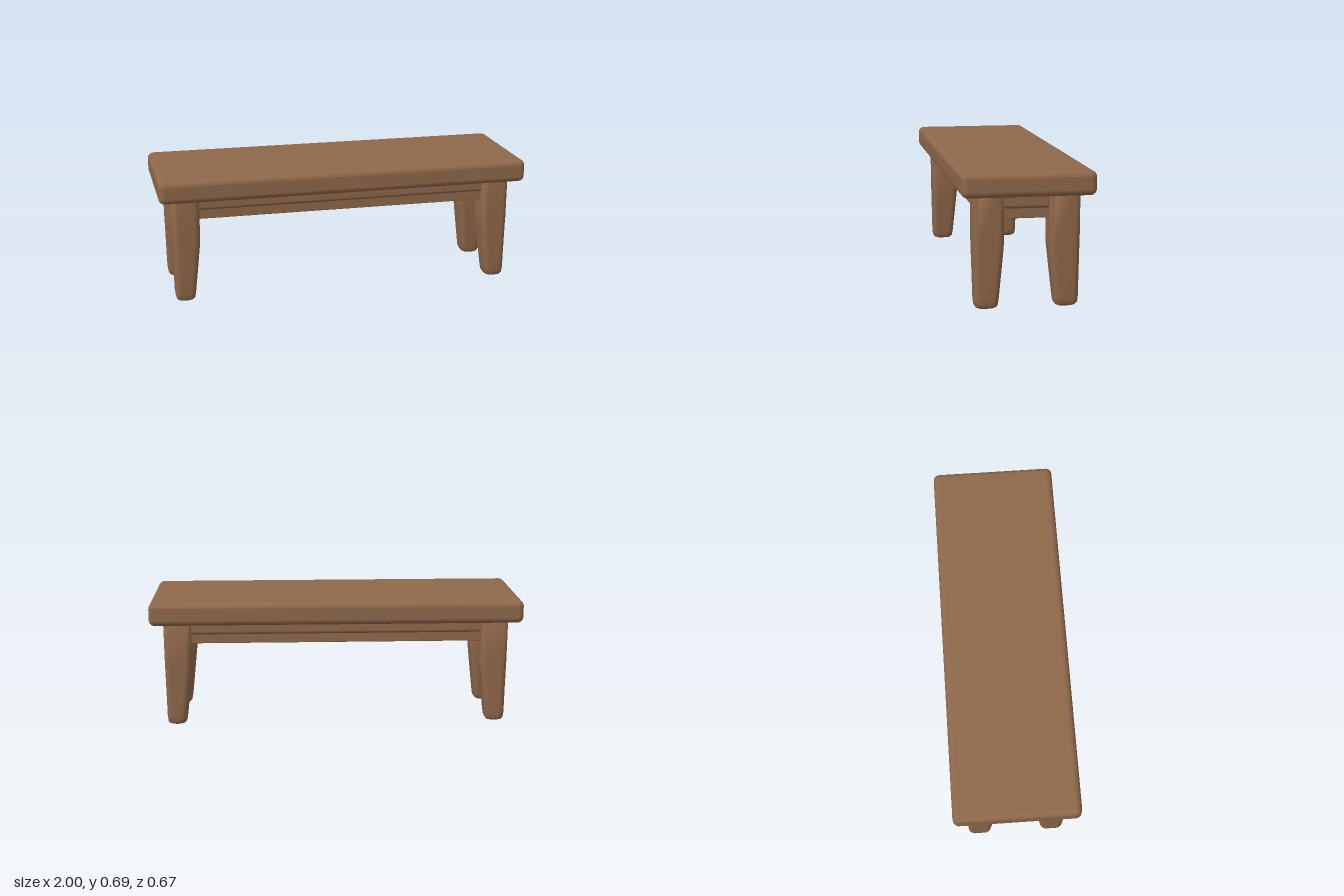
import * as THREE from 'three';
import { RoundedBoxGeometry } from 'three/addons/geometries/RoundedBoxGeometry.js';

const wood = new THREE.MeshStandardMaterial({ color: 0x8e6749 });
wood.name = 'warmWood';

// Rounded bar given by its minimum and maximum corners
function bar(name, min, max, radius) {
  const size = max.map((v, i) => v - min[i]);
  const mesh = new THREE.Mesh(new RoundedBoxGeometry(...size, 4, radius), wood);
  mesh.position.set(...max.map((v, i) => (v + min[i]) / 2));
  mesh.name = name;
  return mesh;
}

// Leg levels: y, inner x, outer x, inner z, outer z
const LEVELS = [
  [0.0, 0.842, 0.9, 0.162, 0.238],
  [0.006, 0.828, 0.914, 0.15, 0.251],
  [0.018, 0.82, 0.921, 0.142, 0.259],
  [0.045, 0.816, 0.924, 0.138, 0.262],
  [0.18, 0.801, 0.926, 0.125, 0.264],
  [0.3, 0.788, 0.928, 0.114, 0.266],
  [0.34, 0.785, 0.929, 0.112, 0.267],
  [0.59, 0.784, 0.931, 0.112, 0.268],
];

// Tapered leg lofted through rounded rectangles; outer faces stay upright
function leg(sx, sz) {
  const steps = 5, count = 4 * (steps + 1);
  const points = [], index = [];
  LEVELS.forEach(([y, x0, x1, z0, z1]) => {
    const hx = (x1 - x0) / 2, hz = (z1 - z0) / 2;
    const cx = sx * (x0 + x1) / 2, cz = sz * (z0 + z1) / 2;
    const r = Math.min(0.03, hx * 0.8);
    for (let c = 0; c < 4; c++) {
      const qx = c === 0 || c === 3 ? 1 : -1, qz = c < 2 ? 1 : -1;
      for (let k = 0; k <= steps; k++) {
        const a = (c + k / steps) * Math.PI / 2;
        points.push(cx + qx * (hx - r) + r * Math.cos(a), y, cz + qz * (hz - r) + r * Math.sin(a));
      }
    }
  });
  for (let j = 0; j < LEVELS.length - 1; j++) {
    for (let i = 0; i < count; i++) {
      const a = j * count + i, b = j * count + (i + 1) % count;
      index.push(a, a + count, b, b, a + count, b + count);
    }
  }
  // Foot and hidden top caps
  const top = (LEVELS.length - 1) * count;
  for (let i = 1; i < count - 1; i++) {
    index.push(0, i, i + 1, top, top + i + 1, top + i);
  }
  const geometry = new THREE.BufferGeometry();
  geometry.setAttribute('position', new THREE.Float32BufferAttribute(points, 3));
  geometry.setIndex(index);
  geometry.computeVertexNormals();
  const mesh = new THREE.Mesh(geometry, wood);
  mesh.name = `${sz > 0 ? 'front' : 'back'}${sx > 0 ? 'Left' : 'Right'}Leg`;
  return mesh;
}

export function createModel() {
  const bench = new THREE.Group();
  bench.name = 'bench';

  // Thick plank seat
  bench.add(bar('seat', [-1, 0.567, -0.333], [1, 0.689, 0.333], 0.032));

  for (const s of [1, -1]) {
    for (const t of [1, -1]) bench.add(leg(s, t));

    // Long rails: a plump upper one with a slimmer one beneath
    const side = s > 0 ? 'front' : 'back';
    const z = s * 0.19;
    bench.add(bar(`${side}UpperRail`, [-0.82, 0.497, z - 0.042], [0.82, 0.58, z + 0.042], 0.018));
    bench.add(bar(`${side}LowerRail`, [-0.82, 0.447, z - 0.026], [0.82, 0.51, z + 0.026], 0.004));

    // Short end rails
    const end = s > 0 ? 'left' : 'right';
    const x = s * 0.858;
    bench.add(bar(`${end}UpperEndRail`, [x - 0.042, 0.496, -0.122], [x + 0.042, 0.58, 0.122], 0.018));
    bench.add(bar(`${end}LowerEndRail`, [x - 0.026, 0.446, -0.13], [x + 0.026, 0.51, 0.13], 0.004));
  }
  return bench;
}
